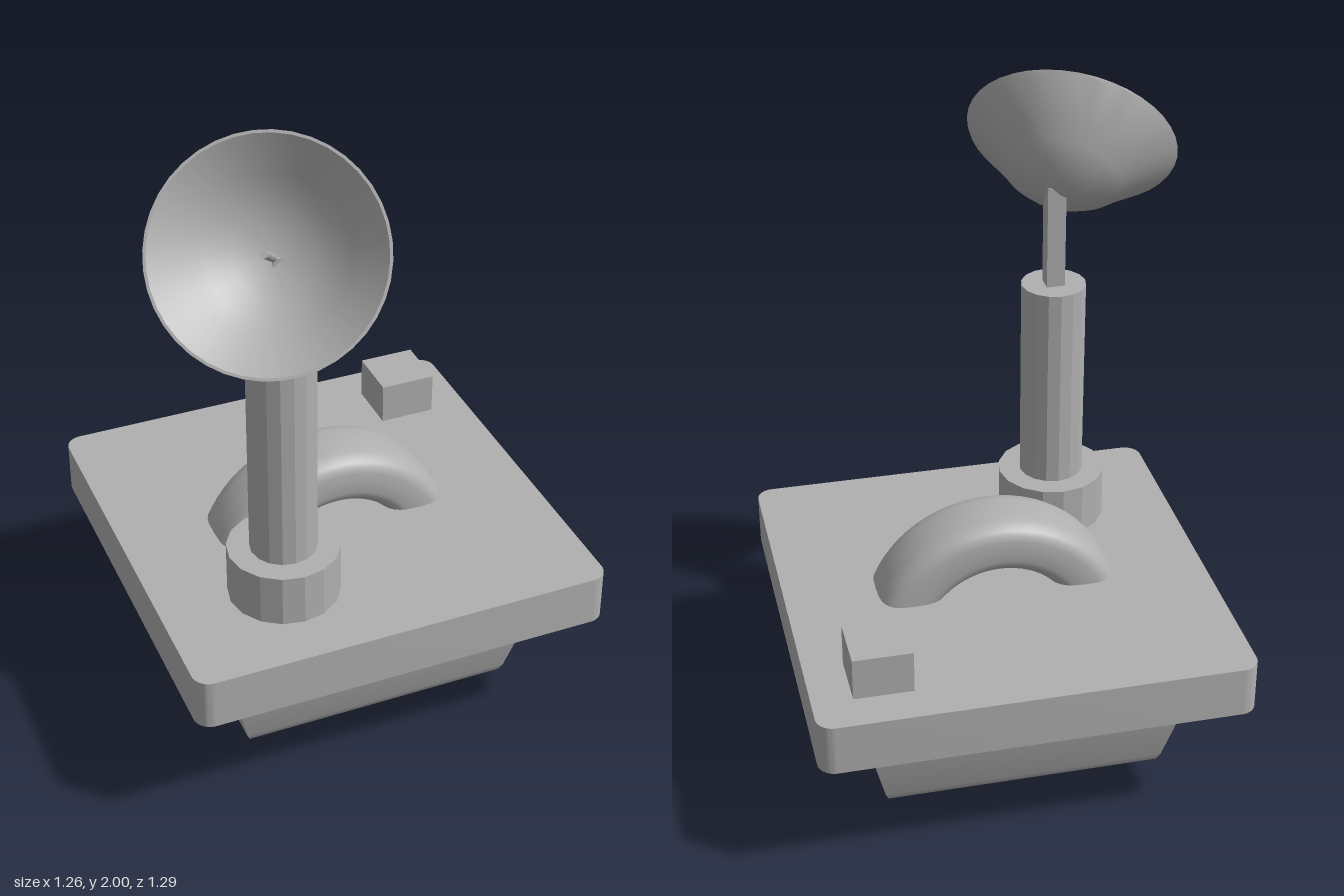
import * as THREE from 'three';
import { toCreasedNormals } from 'three/addons/utils/BufferGeometryUtils.js';

export function createModel() {
  const model = new THREE.Group();
  const grey = new THREE.MeshStandardMaterial({ color: 0xb0b0b0 });
  grey.name = 'plain grey';
  const faceted = geometry => toCreasedNormals(geometry, 0.1);
  const add = (name, geometry, x = 0, y = 0, z = 0, parent = model) => {
    const mesh = new THREE.Mesh(geometry, grey);
    mesh.name = name;
    mesh.position.set(x, y, z);
    parent.add(mesh);
    return mesh;
  };
  const points = list => list.map(([r, y]) => new THREE.Vector2(r, y));
  const midZ = -0.02;

  // Deck: square slab with rounded vertical corners
  const h = 0.63, c = 0.05;
  const outline = new THREE.Shape();
  outline.absarc(h - c, h - c, c, 0, Math.PI / 2);
  outline.absarc(c - h, h - c, c, Math.PI / 2, Math.PI);
  outline.absarc(c - h, c - h, c, Math.PI, Math.PI * 1.5);
  outline.absarc(h - c, c - h, c, Math.PI * 1.5, Math.PI * 2);
  outline.closePath();
  const slab = new THREE.ExtrudeGeometry(outline, { depth: 0.155, bevelEnabled: false, curveSegments: 6 });
  slab.rotateX(-Math.PI / 2);
  add('deck', toCreasedNormals(slab, 0.6), 0, 0.392, midZ);

  // Hull: four-sided tapered tub with a flared lip; half widths by height
  const hullProfile = [[0, 0.08], [0.385, 0.08], [0.405, 0.087], [0.415, 0.11],
    [0.472, 0.34], [0.475, 0.368], [0.485, 0.382], [0.505, 0.392], [0.505, 0.4]];
  const hull = new THREE.LatheGeometry(
    points(hullProfile.map(([r, y]) => [r * Math.SQRT2, y])), 4, Math.PI / 4);
  add('hull', toCreasedNormals(hull, 0.9), 0, 0, midZ);

  // Wheel ring: soft rectangular section turned around the z axis
  const section = [];
  const soft = v => Math.sign(v) * Math.abs(v) ** (2 / 3.2);
  for (let i = 0; i <= 28; i++) {
    const a = (i % 28) / 28 * Math.PI * 2;
    section.push(new THREE.Vector2(0.305 + 0.085 * soft(Math.cos(a)), 0.1175 * soft(Math.sin(a))));
  }
  const ring = new THREE.LatheGeometry(section, 64);
  ring.rotateX(Math.PI / 2);
  add('wheelRing', ring, 0, 0.39, midZ);

  // Equipment box on the rear corner
  add('equipmentBox', new THREE.BoxGeometry(0.172, 0.13, 0.172), 0.427, 0.61, -0.448);

  // Mast: collar, column and square post
  const mx = -0.258, mz = 0.3;
  add('mastCollar', faceted(new THREE.CylinderGeometry(0.163, 0.163, 0.165, 16)), mx, 0.6225, mz);
  add('mastColumn', faceted(new THREE.CylinderGeometry(0.097, 0.097, 0.64, 16)), mx, 1.015, mz);
  add('mastPost', new THREE.BoxGeometry(0.055, 0.33, 0.055), mx, 1.485, mz);

  // Dish: bowl with its rim centre at the group origin, opening along local y
  const dish = new THREE.Group();
  dish.name = 'dishAntenna';
  dish.position.set(-0.342, 1.733, 0.436);
  dish.quaternion.setFromUnitVectors(new THREE.Vector3(0, 1, 0),
    new THREE.Vector3(-0.385, 0.531, 0.755).normalize());
  model.add(dish);
  const bowl = points([[0, -0.21], [0.06, -0.203], [0.12, -0.18], [0.175, -0.14], [0.215, -0.097],
    [0.31, -0.008], [0.314, 0], [0.306, 0], [0.21, -0.08], [0.165, -0.113], [0.11, -0.142],
    [0.055, -0.157], [0, -0.162]]);
  add('dishBowl', toCreasedNormals(new THREE.LatheGeometry(bowl, 40), 0.6), 0, 0, 0, dish);
  add('feedRod', new THREE.CylinderGeometry(0.011, 0.011, 0.265, 10), 0, -0.047, 0, dish);

  return model;
}
